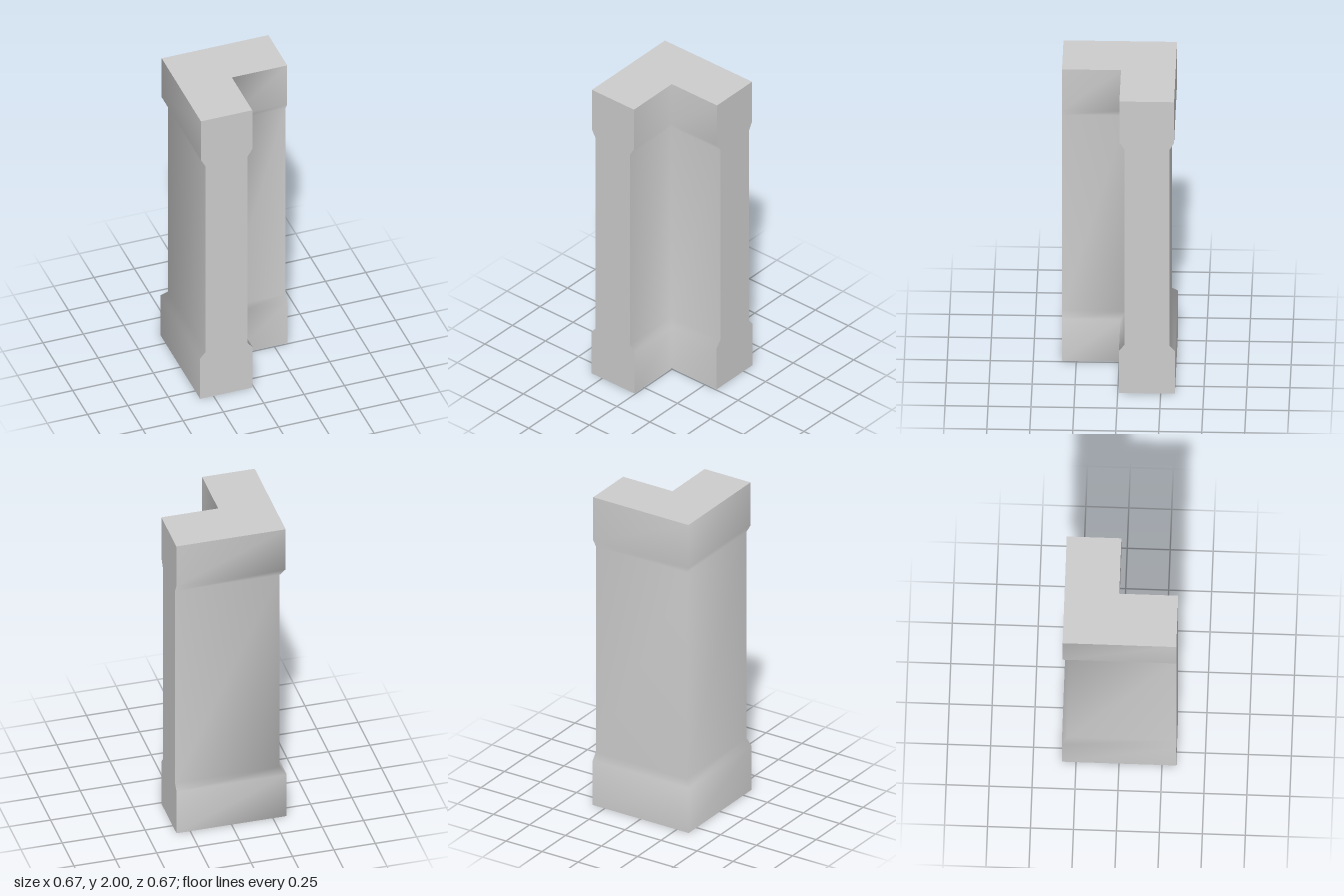
import * as THREE from 'three';

const END = 0.333; // where both legs of the L are cut off

// height, outer wall offset, inner wall offset
const profile = [
  [0, 0.333, 0.007],
  [0.29, 0.333, 0.007],
  [0.33, 0.3, 0.04],
  [1.67, 0.3, 0.04],
  [1.72, 0.328, 0.01],
  [2, 0.328, 0.01],
];

// The three corners of an L-shaped wall line at one height
const corner = (y, d) => [[END, y, -d], [-d, y, -d], [-d, y, END]];

// Smooth surface through rows of points
function surface(name, rows, material) {
  const cols = rows[0].length;
  const index = [];
  for (let j = 0; j < rows.length - 1; j++) {
    for (let i = 0; i < cols - 1; i++) {
      const a = j * cols + i, b = a + 1, c = b + cols, d = a + cols;
      index.push(a, b, c, a, c, d);
    }
  }
  const geometry = new THREE.BufferGeometry();
  geometry.setAttribute('position', new THREE.Float32BufferAttribute(rows.flat(2), 3));
  geometry.setIndex(index);
  geometry.computeVertexNormals();
  const mesh = new THREE.Mesh(geometry, material);
  mesh.name = name;
  return mesh;
}

export function createModel() {
  const material = new THREE.MeshStandardMaterial({ color: 0xcccccc });
  const group = new THREE.Group();
  group.name = 'cornerPillar';

  const outer = profile.map(([y, o]) => corner(y, o));
  const inner = profile.map(([y, , n]) => corner(y, n));
  const last = profile.length - 1;

  group.add(
    // Walls, softly shaded around the corner
    surface('outerWall', outer, material),
    surface('innerWall', inner.map((row) => [...row].reverse()), material),
    // Flat cut ends of the two legs
    surface('leftEnd', outer.map((row, j) => [inner[j][0], row[0]]), material),
    surface('frontEnd', outer.map((row, j) => [row[2], inner[j][2]]), material),
    // Top and base
    surface('top', [outer[last], inner[last]], material),
    surface('base', [inner[0], outer[0]], material),
  );
  return group;
}
